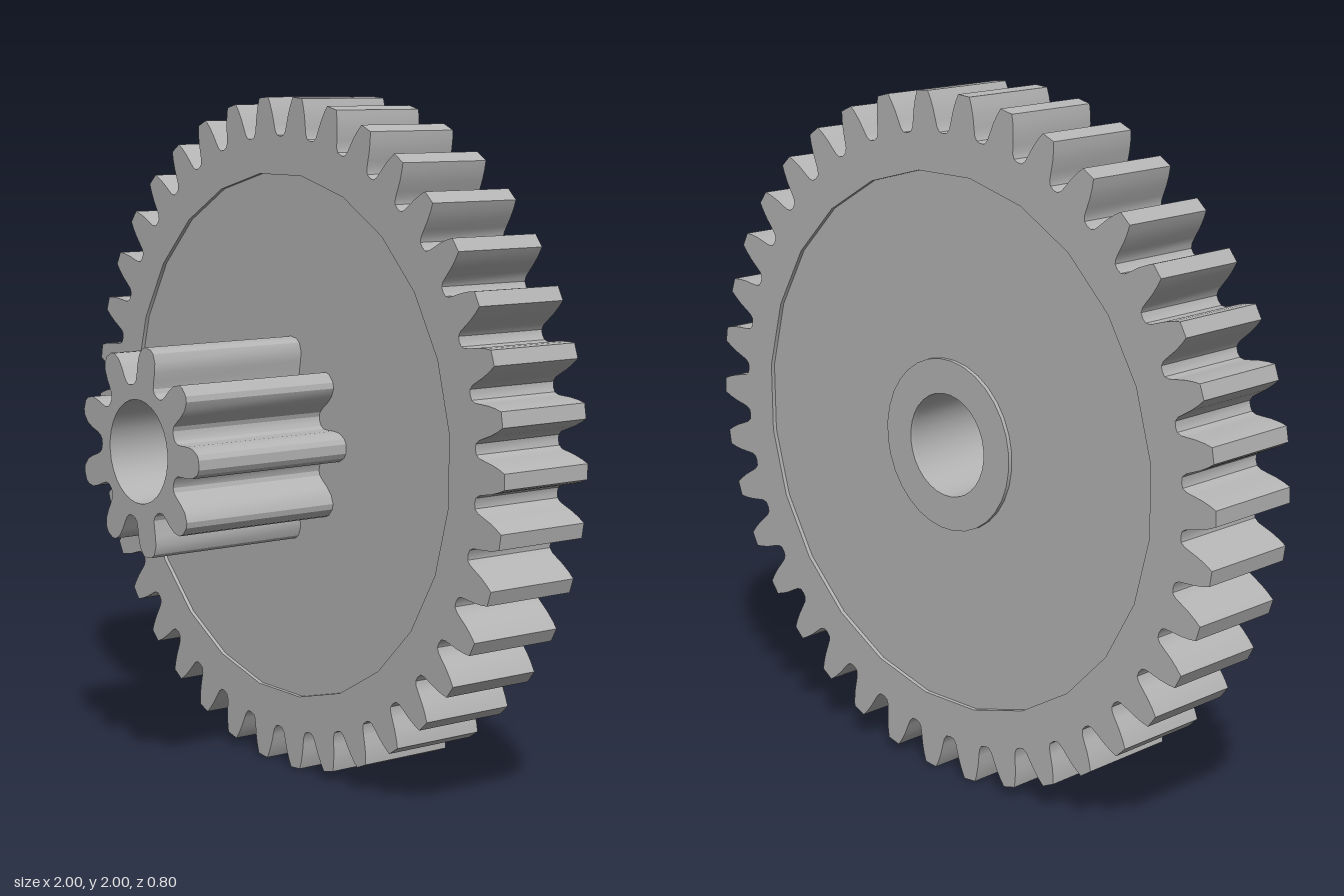
import * as THREE from 'three';
import { toCreasedNormals } from 'three/addons/utils/BufferGeometryUtils.js';

const BORE = 0.15, RIM = 0.78, HUB = 0.25, RECESS = 0.012;
const BACK = -0.4, FACE = -0.1, FRONT = 0.4;

const polar = (r, a) => new THREE.Vector2(r * Math.cos(a), r * Math.sin(a));

// Regular polygon standing in for a circle
function ring(radius, sides) {
  return Array.from({ length: sides }, (_, i) => polar(radius, ((i + 0.5) / sides) * Math.PI * 2));
}

// Gear outline: half a tooth as [radius, angle] from tip to root, mirrored and repeated
function gearOutline(teeth, half) {
  const pitch = (Math.PI * 2) / teeth, points = [];
  for (let i = 0; i < teeth; i++) {
    for (const [r, a] of [...half].reverse()) points.push(polar(r, i * pitch - a));
    for (const [r, a] of half) points.push(polar(r, i * pitch + a));
    points.push(polar(half[half.length - 1][0] - 0.003, (i + 0.5) * pitch));
  }
  return points;
}

// Extruded plate with a central hole, between two z planes
function plate(name, outline, hole, z0, z1, material) {
  const shape = new THREE.Shape(outline);
  shape.holes.push(new THREE.Path(hole));
  const extruded = new THREE.ExtrudeGeometry(shape, { depth: z1 - z0, bevelEnabled: false });
  const mesh = new THREE.Mesh(toCreasedNormals(extruded, 0.45), material);
  mesh.name = name;
  mesh.position.set(0, 1, z0);
  return mesh;
}

export function createModel() {
  const group = new THREE.Group();
  group.name = 'compoundGear';
  const grey = new THREE.MeshStandardMaterial({ color: 0xb4b4b4 });
  grey.name = 'grey';

  const wheelTooth = [[1, 0.022], [0.978, 0.032], [0.95, 0.042], [0.92, 0.05], [0.9, 0.056], [0.888, 0.066]];
  const pinionTooth = [
    [0.305, 0.045], [0.298, 0.095], [0.277, 0.15], [0.25, 0.18],
    [0.222, 0.2], [0.204, 0.225], [0.195, 0.275],
  ];
  const bore = ring(BORE, 32);

  group.add(
    // Toothed outer ring, slightly proud of the web on both faces
    plate('toothedRim', gearOutline(38, wheelTooth), ring(RIM, 24), BACK, FACE, grey),
    // Recessed disc joining rim and hub
    plate('web', ring(RIM, 24), bore, BACK + RECESS, FACE - RECESS, grey),
    // Raised collar around the bore at the back
    plate('backHub', ring(HUB, 32), bore, BACK, BACK + RECESS, grey),
    // Small gear at the front
    plate('pinion', gearOutline(9, pinionTooth), bore, FACE - RECESS, FRONT, grey),
  );
  return group;
}
